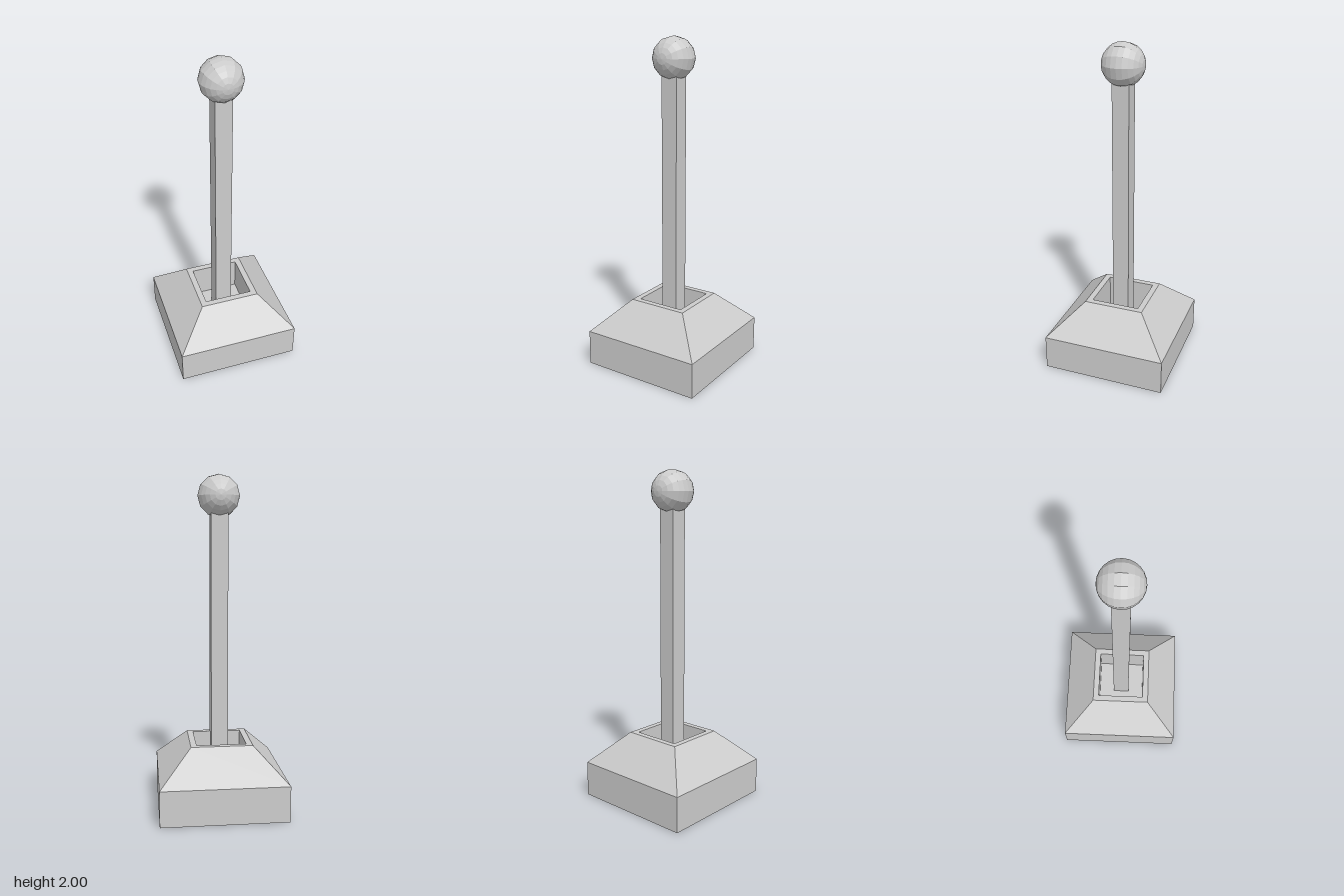
import * as THREE from 'three';

const material = new THREE.MeshStandardMaterial({ color: 0xcccccc, flatShading: true });

function addPart(group, name, geometry, y) {
  const mesh = new THREE.Mesh(geometry, material);
  mesh.name = name;
  mesh.position.y = y;
  group.add(mesh);
}

export function createModel() {
  const model = new THREE.Group();
  model.name = 'leverOnBase';

  // Square base: plinth, sloped collar and sunken well, as a four-sided lathe
  const profile = [
    [0, 0], [0.378, 0], [0.378, 0.215], [0.185, 0.408],
    [0.149, 0.408], [0.149, 0.2], [0, 0.2],
  ].map(([halfWidth, y]) => new THREE.Vector2(halfWidth * Math.SQRT2, y));
  const base = new THREE.LatheGeometry(profile, 4).rotateY(Math.PI / 4).toNonIndexed();
  base.computeVertexNormals();
  addPart(model, 'base', base, 0);

  // Square shaft rising from the well floor into the knob
  const bottom = 0.2, top = 1.8;
  addPart(model, 'shaft', new THREE.BoxGeometry(0.102, top - bottom, 0.102), (top + bottom) / 2);

  // Faceted ball knob with its poles facing front and back
  addPart(model, 'knob', new THREE.SphereGeometry(0.126, 12, 12).rotateX(Math.PI / 2), 1.874);

  return model;
}
